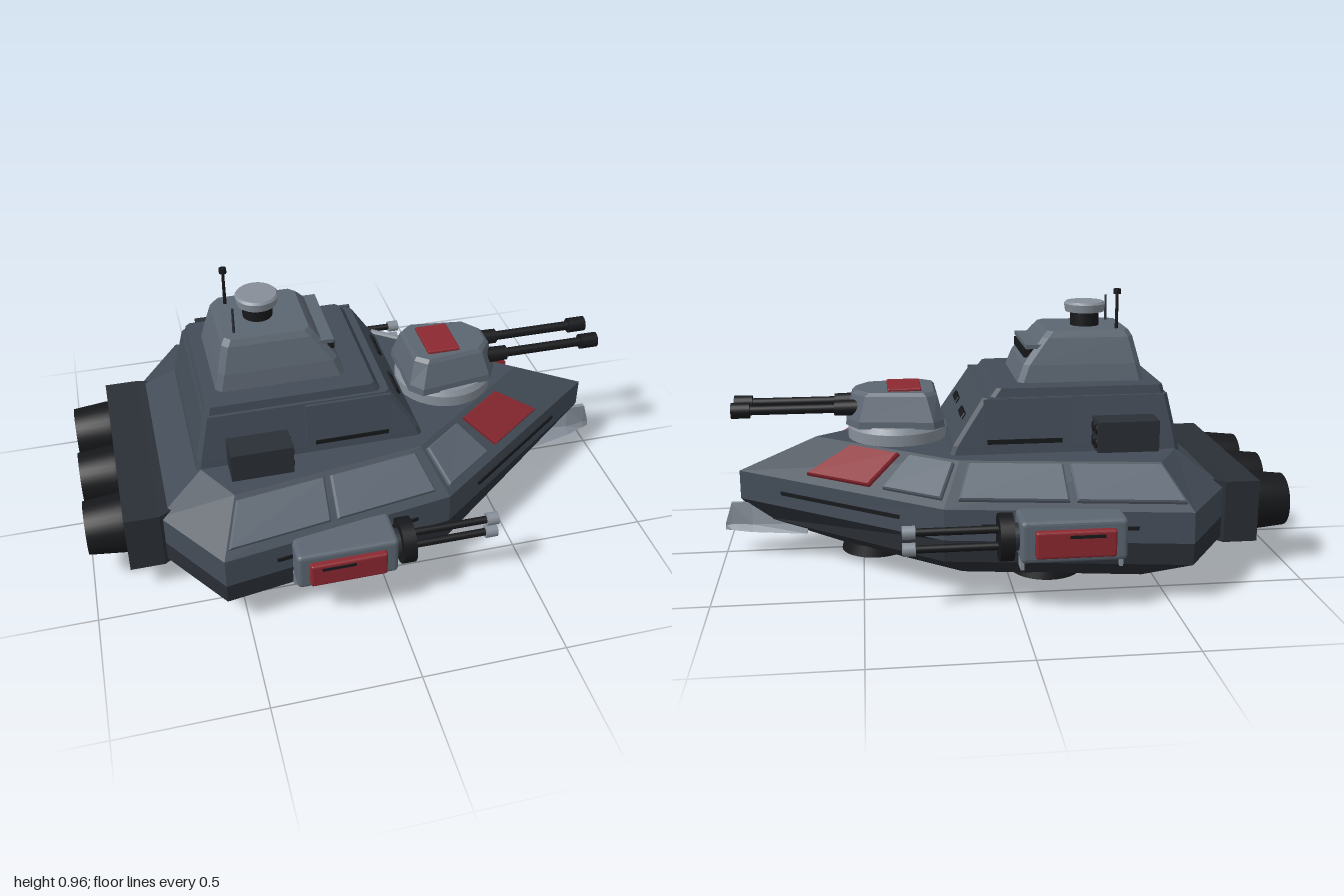
import * as THREE from 'three';
import { toCreasedNormals } from 'three/addons/utils/BufferGeometryUtils.js';
import { RoundedBoxGeometry } from 'three/addons/geometries/RoundedBoxGeometry.js';

const paint = (color, flat = false) => new THREE.MeshStandardMaterial({ color, flatShading: flat, side: THREE.DoubleSide });
const HULL = paint(0x434c57, true), DARK = paint(0x2a2f36, true), LIGHT = paint(0x5c6672, true);
const RED = paint(0x8c2830, true), BLACK = paint(0x17181b), PALE = paint(0x868e98);

export function createModel() {
  const root = new THREE.Group();

  const add = (name, geo, mat, x = 0, y = 0, z = 0) => {
    const m = new THREE.Mesh(geo, mat);
    m.name = name;
    m.position.set(x, y, z);
    root.add(m);
    return m;
  };

  // Skin between equal-length loops of [x, y, z], with both ends closed
  const loft = (rings) => {
    const p = [], tri = (a, b, c) => p.push(...a, ...b, ...c);
    const n = rings[0].length;
    for (let k = 0; k < rings.length - 1; k++) {
      for (let i = 0; i < n; i++) {
        const j = (i + 1) % n, a = rings[k], b = rings[k + 1];
        tri(a[i], a[j], b[j]);
        tri(a[i], b[j], b[i]);
      }
    }
    const lo = rings[0], hi = rings[rings.length - 1];
    for (let i = 1; i < n - 1; i++) {
      tri(lo[0], lo[i + 1], lo[i]);
      tri(hi[0], hi[i], hi[i + 1]);
    }
    const g = new THREE.BufferGeometry();
    g.setAttribute('position', new THREE.Float32BufferAttribute(p, 3));
    g.computeVertexNormals();
    return g;
  };

  // Stacked block from levels [y, xBack, xFront, halfWidth], corners cut by c
  const block = (name, levels, mat, c = 0.015) => add(name, loft(levels.map(([y, a, b, z]) => [
    [a, z - c], [a + c, z], [b - c, z], [b, z - c],
    [b, c - z], [b - c, -z], [a + c, -z], [a, c - z],
  ].map(([x, w]) => [x, y, w]))), mat);

  // Raised plate on the face q (four corners, counter-clockwise), made on both sides
  const platePair = (name, q, [u0, u1, v0, v1], h, mat, skew = 0) => {
    const P = q.map((c) => new THREE.Vector3(...c));
    const at = (u, v) => P[0].clone().lerp(P[1], u).lerp(P[3].clone().lerp(P[2], u), v);
    for (const s of [1, -1]) {
      let loop = [at(u0, v0), at(u1, v0), at(u1 + skew, v1), at(u0 + skew, v1)];
      if (s < 0) loop = loop.map((v) => v.set(v.x, v.y, -v.z)).reverse();
      const n = loop[1].clone().sub(loop[0]).cross(loop[3].clone().sub(loop[0])).normalize();
      const mid = loop.reduce((m, v) => m.add(v), new THREE.Vector3()).multiplyScalar(0.25);
      const ring = (d, inset) => loop.map((v) => v.clone().lerp(mid, inset).addScaledVector(n, d).toArray());
      add(name, loft([ring(-0.01, 0), ring(h * 0.6, 0), ring(h, 0.04)]), mat);
    }
  };

  // Cylinder lying along x from x0 to x1
  const rod = (name, x0, x1, y, z, r0, r1, mat) => add(name,
    new THREE.CylinderGeometry(r1, r0, x1 - x0, 24).rotateZ(-Math.PI / 2), mat, (x0 + x1) / 2, y, z);
  const post = (name, y0, y1, x, z, r0, r1, mat) => add(name,
    new THREE.CylinderGeometry(r1, r0, y1 - y0, 32), mat, x, (y0 + y1) / 2, z);
  const box = (name, sx, sy, sz, mat, x, y, z, r = 0) => add(name,
    r ? new RoundedBoxGeometry(sx, sy, sz, 2, r) : new THREE.BoxGeometry(sx, sy, sz), mat, x, y, z);
  const turned = (pts) => toCreasedNormals(
    new THREE.LatheGeometry(pts.map(([r, y]) => new THREE.Vector2(r, y)), 32), 0.6);

  // Hull: half outline stern, shoulder, fore shoulder, bow at each height
  const half = (y, ...pts) => pts.map(([x, z]) => [x, y, z]);
  const full = (h) => [...h, ...h.slice(0, -1).reverse().map(([x, y, z]) => [x, y, -z])];
  const keel = half(0.02, [-0.54, 0.28], [-0.45, 0.44], [0.16, 0.34], [0.57, 0]);
  const chine = half(0.13, [-0.75, 0.38], [-0.57, 0.645], [0.235, 0.52], [0.86, 0]);
  const beltLow = half(0.205, [-0.75, 0.38], [-0.57, 0.65], [0.235, 0.525], [0.94, 0]);
  const beltTop = half(0.31, [-0.75, 0.38], [-0.57, 0.645], [0.235, 0.52], [0.94, 0]);
  const deck = half(0.43, [-0.59, 0.31], [-0.5, 0.465], [0.17, 0.37], [0.66, 0]);
  add('lowerHull', loft([keel, chine, beltLow].map(full)), DARK);
  add('upperHull', loft([beltLow, beltTop, deck].map(full)), HULL);

  // Armour plates on the sloped deck edge
  const slope = (i) => [beltTop[i], beltTop[i + 1], deck[i + 1], deck[i]];
  const side = slope(1), bow = slope(2);
  platePair('armourPlate', side, [0.01, 0.46, 0.16, 0.9], 0.018, LIGHT);
  platePair('armourPlate', side, [0.49, 0.95, 0.16, 0.9], 0.018, LIGHT);
  platePair('armourPlate', bow, [0.02, 0.3, 0.16, 0.9], 0.018, LIGHT);
  platePair('redArmourPlate', bow, [0.37, 0.69, 0.16, 0.9], 0.018, RED);
  const belt = (i) => [beltLow[i], beltLow[i + 1], beltTop[i + 1], beltTop[i]];
  platePair('beltSlit', belt(2), [0.2, 0.78, 0.42, 0.54], 0.006, BLACK);
  platePair('beltSlit', belt(1), [0.22, 0.85, 0.42, 0.54], 0.006, BLACK);

  // Ram under the bow: flared blade narrowing to the tip
  const ramSection = (x, w, base, top) => [
    [x, base, w], [x, base, -w], [x, base + 0.02, -w * 0.45], [x, top, -0.008],
    [x, top, 0.008], [x, base + 0.02, w * 0.45],
  ];
  add('ram', loft([ramSection(0.7, 0.105, 0.095, 0.12), ramSection(0.9, 0.05, 0.09, 0.19),
    ramSection(0.975, 0.02, 0.09, 0.19), ramSection(1, 0.01, 0.09, 0.1)]), PALE);

  // Engine block and hollow nozzles
  const sternRing = (x, y0, y1, z) => [[x, y0, -z], [x, y0, z], [x, y1, z], [x, y1, -z]];
  add('engineBlock', loft([sternRing(-0.87, 0.11, 0.33, 0.4), sternRing(-0.75, 0.11, 0.33, 0.4),
    sternRing(-0.66, 0.13, 0.34, 0.36)]), DARK);
  const nozzle = turned([[0.105, 0], [0.105, 0.02], [0.093, 0.14], [0.078, 0.14], [0.065, 0.04], [0, 0.04]]);
  nozzle.rotateZ(Math.PI / 2);
  for (const z of [-0.27, 0, 0.27]) add('engineNozzle', nozzle, BLACK, -0.86, 0.218, z);

  // Hover pads
  const pad = turned([[0, 0.04], [0.115, 0.04], [0.125, 0], [0.1, 0], [0.085, 0.018], [0, 0.018]]);
  for (const [x, z] of [[0.455, 0], [-0.14, 0.28], [-0.14, -0.28], [-0.57, 0]]) add('hoverPad', pad, BLACK, x, 0, z);

  // Superstructure
  block('lowerTier', [[0.42, -0.605, 0.2, 0.31], [0.46, -0.6, 0.185, 0.305], [0.62, -0.565, 0.08, 0.28]], HULL);
  block('tierCap', [[0.61, -0.56, 0.06, 0.27], [0.65, -0.55, 0.03, 0.265]], HULL);
  block('upperTier', [[0.645, -0.505, -0.05, 0.19], [0.71, -0.49, -0.075, 0.178],
    [0.8, -0.468, -0.145, 0.15], [0.822, -0.455, -0.165, 0.138]], LIGHT, 0.02);
  box('visor', 0.05, 0.03, 0.27, BLACK, -0.105, 0.745, 0);
  box('visorHood', 0.06, 0.015, 0.3, LIGHT, -0.115, 0.77, 0);
  platePair('frontSlit', [[0.185, 0.46, 0.305], [0.185, 0.46, -0.305], [0.08, 0.62, -0.28], [0.08, 0.62, 0.28]],
    [0.19, 0.39, 0.4, 0.52], 0.008, BLACK);
  post('cupolaNeck', 0.815, 0.875, -0.32, 0, 0.052, 0.052, BLACK);
  post('cupolaCap', 0.872, 0.9, -0.32, 0, 0.07, 0.075, PALE);
  post('cupolaCapTop', 0.9, 0.908, -0.32, 0, 0.075, 0.068, PALE);
  post('antenna', 0.81, 0.95, -0.418, -0.095, 0.006, 0.005, BLACK);
  post('antennaTip', 0.945, 0.963, -0.418, -0.095, 0.013, 0.013, BLACK);
  post('shortAntenna', 0.81, 0.915, -0.418, 0.095, 0.005, 0.004, DARK);

  // Turret with twin guns
  post('turretRing', 0.42, 0.47, 0.365, 0, 0.178, 0.178, PALE);
  post('turretRingTop', 0.47, 0.49, 0.365, 0, 0.178, 0.165, PALE);
  const turretRing = (y, a, b, k) => full([[a, y, 0.12 * k], [a + 0.04, y, 0.165 * k],
    [b - 0.045, y, 0.13 * k], [b, y, 0.05 * k], [b, y, 0]]);
  add('turret', loft([turretRing(0.485, 0.2, 0.55, 1), turretRing(0.51, 0.203, 0.548, 0.99),
    turretRing(0.595, 0.225, 0.525, 0.78), turretRing(0.608, 0.235, 0.51, 0.72)]), LIGHT);
  box('turretHatch', 0.12, 0.016, 0.17, RED, 0.34, 0.61, 0, 0.005);
  for (const z of [0.057, -0.057]) {
    rod('gunSleeve', 0.47, 0.59, 0.547, z, 0.03, 0.027, BLACK);
    rod('gunBarrel', 0.55, 0.9, 0.547, z, 0.017, 0.017, BLACK);
    rod('gunMuzzle', 0.885, 0.95, 0.547, z, 0.028, 0.028, BLACK);
  }

  for (const s of [1, -1]) {
    // Rocket pods beside the superstructure
    box('rocketPod', 0.21, 0.105, 0.1, DARK, -0.395, 0.51, s * 0.38);
    box('podMount', 0.15, 0.05, 0.08, DARK, -0.4, 0.5, s * 0.31);
    for (const y of [0.485, 0.533]) {
      for (const z of [0.358, 0.402]) rod('rocketTube', -0.3, -0.285, y, s * z, 0.017, 0.017, BLACK);
    }
    // Tier side plates
    const plate = box('sidePlate', 0.3, 0.16, 0.012, HULL, -0.07, 0.54, s * 0.302);
    plate.rotation.x = -s * 0.12;
    box('tierSlit', 0.26, 0.016, 0.012, BLACK, -0.06, 0.475, s * 0.312);

    // Side sponson with twin guns
    box('sponson', 0.345, 0.14, 0.15, LIGHT, -0.168, 0.246, s * 0.618, 0.015);
    box('sponsonPanel', 0.26, 0.09, 0.04, RED, -0.17, 0.243, s * 0.695, 0.008);
    box('sponsonSlit', 0.115, 0.01, 0.012, BLACK, -0.205, 0.27, s * 0.712);
    rod('gunHub', -0.01, 0.03, 0.245, s * 0.62, 0.045, 0.045, DARK);
    rod('gunDisc', 0.022, 0.068, 0.245, s * 0.62, 0.078, 0.078, BLACK);
    for (const y of [0.272, 0.215]) {
      rod('sideGunBarrel', 0.05, 0.35, y, s * 0.62, 0.013, 0.013, BLACK);
      rod('sideGunMuzzle', 0.333, 0.375, y, s * 0.62, 0.022, 0.022, PALE);
    }
    for (const x of [-0.335, -0.01]) box('sponsonStrut', 0.012, 0.06, 0.05, PALE, x, 0.16, s * 0.6);
  }
  return root;
}
